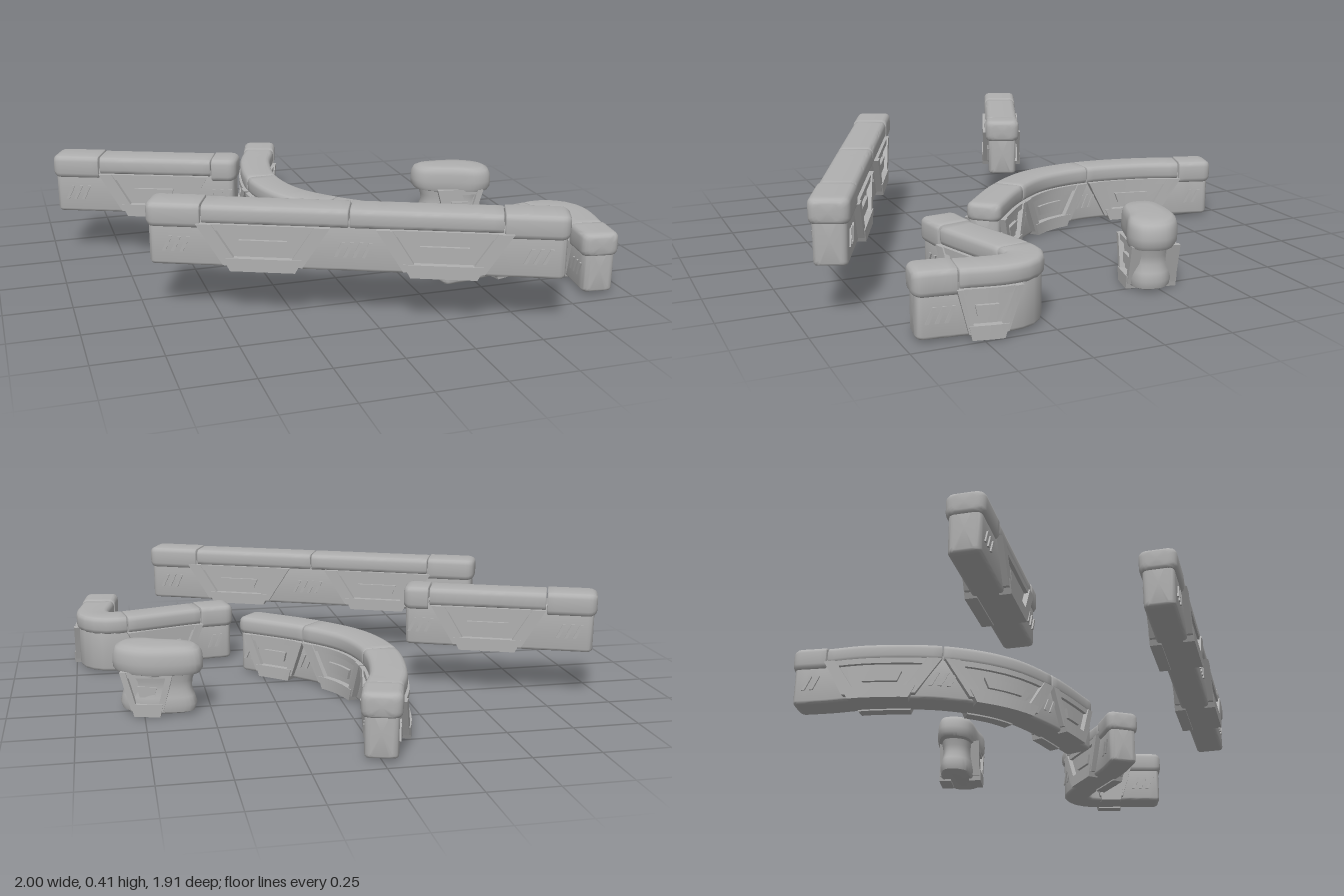
import * as THREE from 'three';
import { toCreasedNormals } from 'three/addons/utils/BufferGeometryUtils.js';

const stone = new THREE.MeshStandardMaterial({ color: 0xb0b0b0 });
stone.name = 'plain grey';

function addMesh(group, name, geometry, crease = 0.75) {
  const mesh = new THREE.Mesh(toCreasedNormals(geometry, crease), stone);
  mesh.name = name;
  group.add(mesh);
}

// Closed skin over a list of rings, with fans at both ends
function loft(rings) {
  const n = rings[0].length, pos = [], idx = [];
  rings.forEach(r => r.forEach(p => pos.push(p.x, p.y, p.z)));
  for (let i = 0; i < rings.length - 1; i++) {
    for (let j = 0; j < n; j++) {
      const k = (j + 1) % n, a = i * n, b = a + n;
      idx.push(a + j, b + j, b + k, a + j, b + k, a + k);
    }
  }
  [0, rings.length - 1].forEach(i => {
    const c = new THREE.Vector3();
    rings[i].forEach(p => c.addScaledVector(p, 1 / n));
    const ci = pos.length / 3;
    pos.push(c.x, c.y, c.z);
    for (let j = 0; j < n; j++) {
      const p = i * n + j, q = i * n + (j + 1) % n;
      if (i === 0) idx.push(ci, p, q); else idx.push(ci, q, p);
    }
  });
  const g = new THREE.BufferGeometry();
  g.setAttribute('position', new THREE.Float32BufferAttribute(pos, 3));
  g.setIndex(idx);
  return g;
}

// Ground path with helpers: s runs along it, u sideways, y up
function makePath(points) {
  const curve = new THREE.CatmullRomCurve3(points.map(([x, z]) => new THREE.Vector3(x, 0, z)), false, 'centripetal');
  const length = curve.getLength();
  const at = (s, u, y) => {
    const t = THREE.MathUtils.clamp(s / length, 0, 1);
    const p = curve.getPointAt(t), d = curve.getTangentAt(t);
    return new THREE.Vector3(p.x - d.z * u, y, p.z + d.x * u);
  };
  return { length, at };
}

// Rounded bar that follows the path from s0 to s1; r0 and r1 round its ends
function bar(path, s0, s1, hw, y0, y1, r, r0, r1) {
  const section = inset => {
    const pts = [], w = hw - inset, lo = y0 + inset * 0.5, hi = y1 - inset * 0.5;
    [[1, lo, -90], [1, hi, 0], [-1, hi, 90], [-1, lo, 180]].forEach(([sx, y, a0]) => {
      const cy = y === lo ? lo + r : hi - r;
      for (let k = 0; k <= 3; k++) {
        const a = THREE.MathUtils.degToRad(a0 + k * 30);
        pts.push([sx * (w - r) + r * Math.cos(a), cy + r * Math.sin(a)]);
      }
    });
    return pts;
  };
  const stations = [], n = Math.max(2, Math.ceil((s1 - s0) / 0.03));
  for (let k = 0; k < 4; k++) {
    const a = k * Math.PI / 8;
    stations.push([s0 + r0 * (1 - Math.sin(a)), r0 * (1 - Math.cos(a))]);
  }
  stations.forEach((st, k) => { st[0] = s0 + r0 * (1 - Math.cos(k * Math.PI / 8)); st[1] = r0 * (1 - Math.sin(k * Math.PI / 8)); });
  for (let k = 0; k <= n; k++) stations.push([s0 + r0 + (s1 - s0 - r0 - r1) * k / n, 0]);
  for (let k = 3; k >= 0; k--) {
    const a = k * Math.PI / 8;
    stations.push([s1 - r1 * (1 - Math.cos(a)), r1 * (1 - Math.sin(a))]);
  }
  return loft(stations.map(([s, inset]) => section(inset).map(([u, y]) => path.at(s, u, y))));
}

// Four-cornered plate on one side of the path: corners (s,y) bottom left, bottom right, top right, top left
function plate(path, side, q, u0, u1) {
  const g = new THREE.BoxGeometry(1, 1, 1, 6, 1, 1), p = g.attributes.position, L = THREE.MathUtils.lerp;
  for (let i = 0; i < p.count; i++) {
    const a = p.getX(i) + 0.5, b = p.getY(i) + 0.5, c = p.getZ(i) + 0.5;
    const s = L(L(q[0][0], q[1][0], a), L(q[3][0], q[2][0], a), b);
    const y = L(L(q[0][1], q[1][1], a), L(q[3][1], q[2][1], a), b);
    const v = path.at(s, side > 0 ? L(u0, u1, c) : L(-u1, -u0, c), y);
    p.setXYZ(i, v.x, v.y, v.z);
  }
  return g;
}

// Raised trapezoid bracket with a sunken panel and a louver, on both sides
function bracket(group, path, c, k, y, u = 0.08) {
  for (const side of [1, -1]) {
    for (const m of [1, -1]) {
      const leg = [[0.085, 0.02], [0.14, 0.02], [0.235, 0.168], [0.18, 0.168]].map(([s, h]) => [c + m * s * k, y + h]);
      const q = m > 0 ? leg : [leg[1], leg[0], leg[3], leg[2]];
      addMesh(group, 'bracketLeg', plate(path, side, q, 0.04, u), 0.3);
    }
    const bars = [
      ['bracketFoot', 0.115, 0.14, 0, 0.048, u + 0.004],
      ['bracketPanel', 0.1, 0.19, 0.04, 0.16, u - 0.02],
      ['bracketTop', 0.185, 0.2, 0.146, 0.168, u - 0.006],
      ['louver', 0.068, 0.085, 0.073, 0.112, u - 0.008],
    ];
    for (const [name, w0, w1, h0, h1, out] of bars) {
      const q = [[c - w0 * k, y + h0], [c + w0 * k, y + h0], [c + w1 * k, y + h1], [c - w1 * k, y + h1]];
      addMesh(group, name, plate(path, side, q, 0.04, out), 0.3);
    }
  }
}

// Slanted ribs beside the brackets
function ribs(group, path, c, count, y, u) {
  for (const side of [1, -1]) {
    for (let i = 0; i < count; i++) {
      const s = c + (i - (count - 1) / 2) * 0.032, d = side * 0.013;
      const q = [[s - d - 0.006, y + 0.06], [s - d + 0.006, y + 0.06], [s + d + 0.006, y + 0.115], [s + d - 0.006, y + 0.115]];
      addMesh(group, 'rib', plate(path, side, q, 0.04, u + 0.006), 0.3);
    }
  }
}

// Wall made of a body, coping blocks split at the joints, brackets and ribs
function wall(name, points, y, joints, brackets, ribSets, thickEnds) {
  const g = new THREE.Group(), path = makePath(points), L = path.length;
  g.name = name;
  addMesh(g, 'body', bar(path, 0.01, L - 0.01, 0.058, y + 0.006, y + 0.19, 0.012, 0.022, 0.022));
  const cuts = [0, ...joints, L];
  for (let i = 0; i < cuts.length - 1; i++) {
    const first = i === 0, last = i === cuts.length - 2;
    const thick = (first && thickEnds[0]) || (last && thickEnds[1]);
    addMesh(g, 'coping', bar(path, cuts[i] + (first ? 0 : 0.002), cuts[i + 1] - (last ? 0 : 0.002),
      thick ? 0.07 : 0.067, y + (thick ? 0.147 : 0.163), y + (thick ? 0.236 : 0.233), 0.02,
      first ? 0.032 : 0.005, last ? 0.032 : 0.005));
  }
  brackets.forEach(([c, k]) => bracket(g, path, c, k, y));
  ribSets.forEach(([c, n]) => ribs(g, path, c, n, y, 0.058));
  return g;
}

// Stubby pillar with a waist and an overhanging top
function pillar() {
  const g = new THREE.Group();
  g.name = 'pillar';
  const outline = [[-0.15, -0.1], [-0.05, -0.112], [0.085, -0.08], [0.16, 0], [0.14, 0.09], [0.075, 0.112], [-0.01, 0.075], [-0.14, 0.02], [-0.167, -0.03]];
  const loop = new THREE.CatmullRomCurve3(outline.map(([x, z]) => new THREE.Vector3(x, 0, z)), true).getPoints(40).slice(0, 40);
  const rings = list => list.map(([k, y]) => loop.map(p => new THREE.Vector3(0.695 + p.x * k, y, -0.25 + p.z * k)));
  addMesh(g, 'pillarBody', loft(rings([[0.72, 0.008], [0.8, 0.014], [0.85, 0.04], [0.8, 0.07], [0.74, 0.1], [0.76, 0.13], [0.84, 0.17]])));
  addMesh(g, 'pillarTop', loft(rings([[0.8, 0.155], [0.93, 0.16], [0.99, 0.175], [1, 0.2], [0.98, 0.23], [0.92, 0.25], [0.8, 0.259], [0.5, 0.263]])));
  bracket(g, makePath([[0.55, -0.285], [0.85, -0.215]]), 0.175, 0.42, 0, 0.088);
  return g;
}

export function createModel() {
  const model = new THREE.Group();
  model.name = 'barrierSet';
  model.add(
    wall('shortStraightWall', [[-0.975, -0.4], [-0.29, -0.12]], 0.177, [0.19, 0.64],
      [[0.41, 0.93]], [[0.1, 3], [0.67, 3]], [true, true]),
    wall('longStraightWall', [[-0.72, 0.31], [0.635, 0.893]], 0.177, [0.2, 0.72, 1.25],
      [[0.42, 1], [1.05, 1]], [[0.11, 3], [0.735, 4], [1.37, 3]], [true, true]),
    wall('curvedWall', [[0.01, -0.955], [-0.03, -0.82], [-0.085, -0.67], [-0.12, -0.4], [-0.07, -0.17], [0.065, 0.015], [0.3, 0.22]],
      0.004, [0.14, 0.57, 1.03], [[0.35, 0.92], [0.8, 0.95], [1.17, 0.62]], [[0.08, 2], [0.575, 3], [1.02, 2], [1.29, 2]], [true, false]),
    wall('cornerWall', [[0.345, 0.42], [0.49, 0.4], [0.795, 0.312], [0.865, 0.307], [0.913, 0.345], [0.925, 0.41], [0.9, 0.56], [0.88, 0.71]],
      0.004, [0.146, 0.465, 0.82], [[0.305, 0.7], [0.73, 0.42]], [[0.08, 2], [0.48, 2], [0.88, 3]], [true, true]),
    pillar(),
  );
  return model;
}
